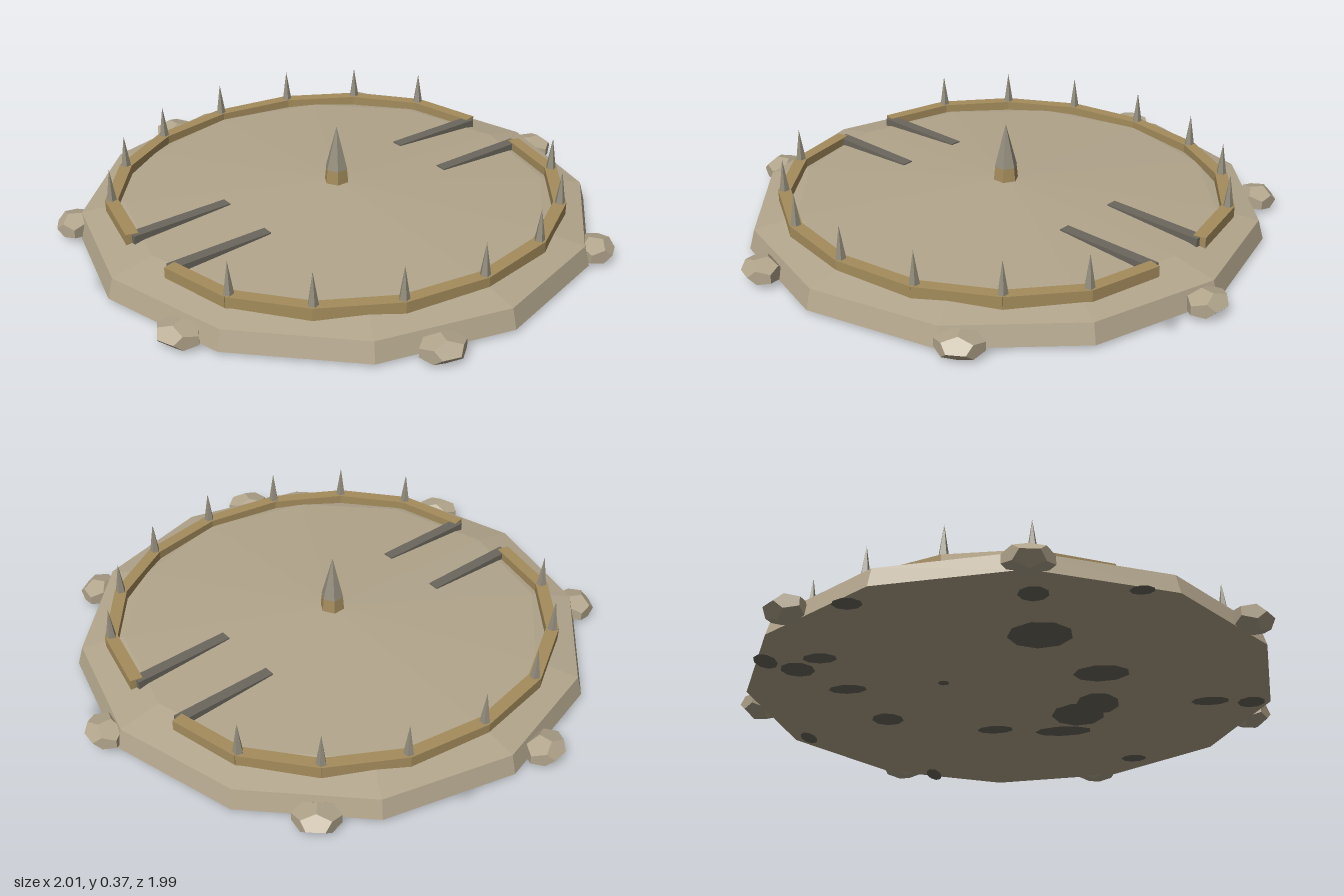
import * as THREE from 'three';

const mat = (name, color) => {
  const m = new THREE.MeshStandardMaterial({ color });
  m.name = name;
  return m;
};

// Faceted copy of a geometry
const facet = (geo) => {
  const g = geo.index ? geo.toNonIndexed() : geo;
  g.computeVertexNormals();
  return g;
};

export function createModel() {
  const sand = mat('sandstone', 0xb2a58c);
  const wood = mat('wood', 0xa48c5c);
  const bone = mat('spike grey', 0x938d7c);
  const grey = mat('dark grey', 0x6b675d);

  const model = new THREE.Group();
  model.name = 'spikedArena';
  const add = (name, geo, material, x = 0, y = 0, z = 0, parent = model) => {
    const m = new THREE.Mesh(geo, material);
    m.name = name;
    m.position.set(x, y, z);
    parent.add(m);
    return m;
  };

  // Twelve-sided platform with a gently domed top
  const profile = [[0, 0.018], [0.955, 0.018], [0.935, 0.09], [0.78, 0.122], [0, 0.165]]
    .map(([r, y]) => new THREE.Vector2(r, y));
  add('platform', facet(new THREE.LatheGeometry(profile, 12)), sand);

  // Boulders around the rim
  const stone = facet(new THREE.DodecahedronGeometry(1));
  for (let i = 0; i < 7; i++) {
    const a = THREE.MathUtils.degToRad(17 + (i * 360) / 7);
    const s = add('rimStone', stone, sand, 0.96 * Math.cos(a), 0.048, 0.96 * Math.sin(a));
    s.scale.set(0.07, 0.045, 0.088);
    s.rotation.y = -a;
  }

  // Two curved rails with a spike on every inner joint
  const quarter = [[0.8, 0], [0.75, 0.3], [0.605, 0.55], [0.39, 0.725], [0.13, 0.785]];
  const arc = [...quarter.slice(1).reverse().map(([x, z]) => [x, -z]), ...quarter];
  const spike = facet(new THREE.ConeGeometry(0.023, 0.145, 5));
  for (const side of [1, -1]) {
    arc.forEach(([x, z], i) => {
      if (i > 0 && i < arc.length - 1) add('railSpike', spike, bone, side * x, 0.197, z);
      if (i === arc.length - 1) return;
      const [x2, z2] = arc[i + 1];
      const dx = side * (x2 - x), dz = z2 - z;
      const len = Math.hypot(dx, dz) + 0.008;
      const rail = add('rail', new THREE.BoxGeometry(0.046, 0.05, len), wood,
        side * (x + x2) / 2, 0.124, (z + z2) / 2);
      rail.rotation.y = Math.atan2(dx, dz);
    });
    // Entrance bars running inward until they sink into the dome
    for (const end of [1, -1]) {
      add('entranceBar', new THREE.BoxGeometry(0.042, 0.04, 0.39), grey, side * 0.13, 0.126, end * 0.592);
    }
  }

  // Central spike on a wooden foot
  add('centreFoot', facet(new THREE.CylinderGeometry(0.041, 0.05, 0.09, 6)), wood, 0, 0.175, 0);
  add('centreSpike', facet(new THREE.ConeGeometry(0.043, 0.165, 6)), bone, 0, 0.2975, 0);

  // Dark patches on the underside: x, z, half width, half depth
  const patches = new THREE.Group();
  patches.name = 'undersidePatches';
  patches.rotation.y = 2.44;
  model.add(patches);
  const disc = new THREE.CircleGeometry(1, 9).rotateX(Math.PI / 2);
  [
    [-0.23, 0.2, 0.1, 0.11], [-0.16, 0.36, 0.11, 0.05], [-0.31, 0.1, 0.08, 0.1],
    [-0.16, -0.5, 0.11, 0.1], [-0.34, -0.17, 0.1, 0.07], [0.49, 0.15, 0.06, 0.06],
    [0.1, 0.31, 0.07, 0.04], [-0.17, -0.79, 0.05, 0.05], [-0.5, -0.77, 0.04, 0.03],
    [-0.42, 0.7, 0.05, 0.04], [0.43, 0.79, 0.03, 0.07], [0.57, -0.15, 0.07, 0.04],
    [0.6, -0.42, 0.06, 0.04], [0.7, -0.34, 0.06, 0.06], [0.79, -0.42, 0.04, 0.06],
    [-0.87, 0.16, 0.05, 0.05], [-0.72, 0.13, 0.07, 0.04], [0.84, 0.3, 0.03, 0.06],
    [0.41, -0.8, 0.05, 0.04], [0.22, -0.16, 0.02, 0.02],
  ].forEach(([x, z, w, d]) => {
    add('patch', disc, grey, x, 0.015, z, patches).scale.set(w, 1, d);
  });

  model.position.set(0.01, 0, 0.03);
  const root = new THREE.Group();
  root.name = 'arena';
  root.add(model);
  return root;
}
